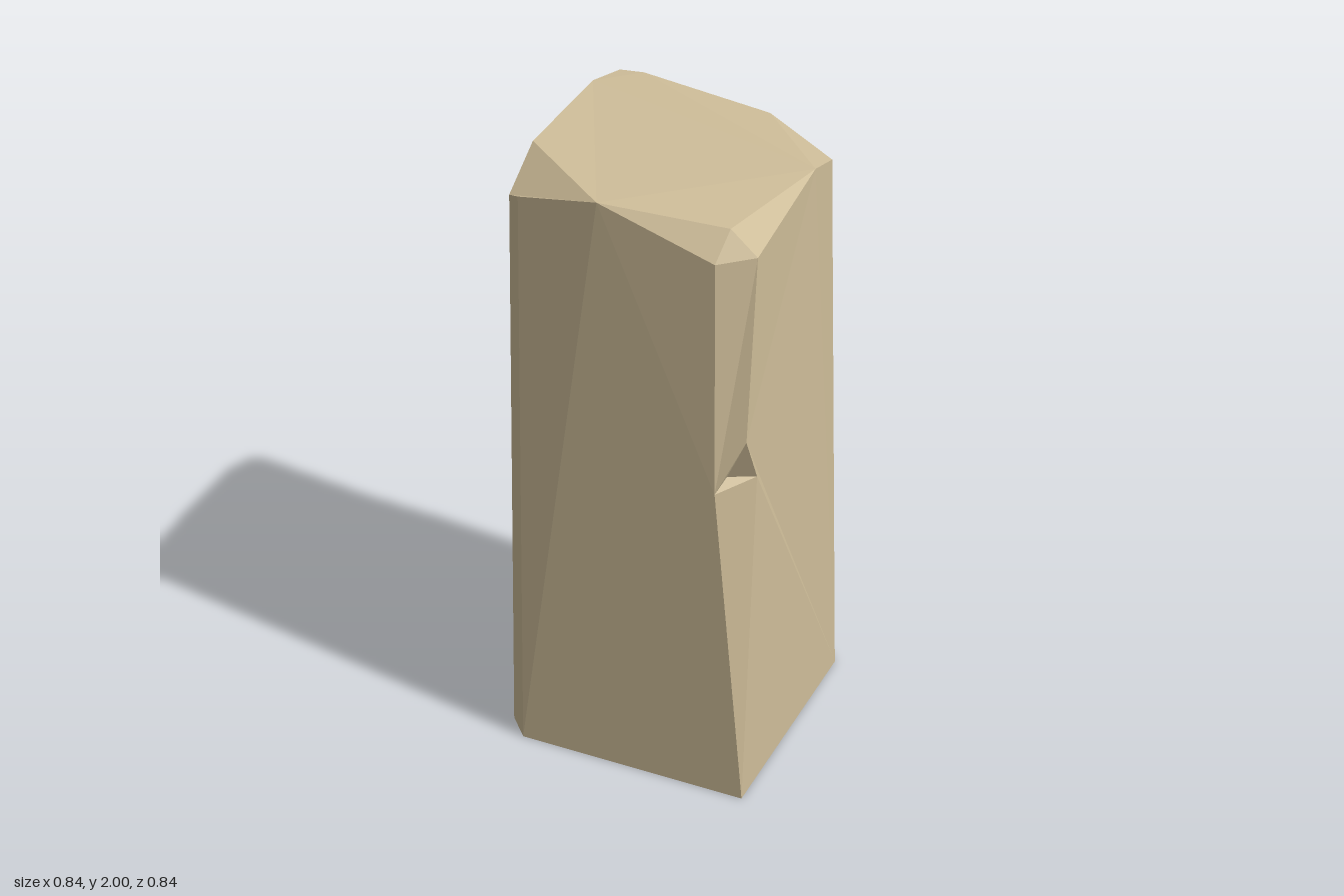
import * as THREE from 'three';

// Corner edges of the pillar; the body is a tapered block with chipped corners
const P = {
  // front left corner: notch cut into the edge
  a0: [0.405, 0, 0.395], aFront: [0.3, 1.12, 0.39], aSide: [0.385, 1.14, 0.28],
  aDeep: [0.31, 1.145, 0.325], aPeak: [0.375, 1.29, 0.34],
  a1: [0.285, 1.86, 0.37], a2: [0.375, 1.86, 0.285],
  // back left corner: narrowing bevel
  b1: [0.42, 0, -0.355], b2: [0.35, 0, -0.42], bTop: [0.33, 1.845, -0.375],
  // back right corner: overhanging notch
  d0: [-0.415, 0, -0.415], dTip: [-0.413, 0.64, -0.418],
  dBack: [-0.285, 0.95, -0.415], dSide: [-0.412, 0.95, -0.29],
  d1: [-0.375, 1.015, -0.42], d2: [-0.415, 1.015, -0.37],
  d3: [-0.38, 1.95, -0.42], d4: [-0.418, 1.95, -0.375],
  // front right corner: full bevel
  c1: [-0.35, 0, 0.42], c2: [-0.42, 0, 0.35],
  c3: [-0.32, 1.93, 0.36], c4: [-0.375, 1.9, 0.31],
  // rim of the sloping top
  tFront: [-0.065, 1.977, 0.38], tA: [0.3, 1.94, 0.3], tLeft: [0.375, 1.94, -0.125],
  tBack: [0.13, 1.955, -0.375], tD1: [-0.3, 1.985, -0.415], tD: [-0.375, 1.985, -0.403],
  tD2: [-0.415, 1.985, -0.3], tRight: [-0.375, 2, 0.16],
};

// Flat-shaded mesh from polygons, each listed counter-clockwise from outside
function facets(name, material, polygons) {
  const out = [];
  for (const polygon of polygons) {
    const pts = polygon.split(' ').map((k) => new THREE.Vector3(...P[k]));
    const normal = new THREE.Vector3();
    pts.forEach((p, i) => normal.add(p.clone().cross(pts[(i + 1) % pts.length])));
    normal.normalize();
    const u = pts[1].clone().sub(pts[0]).projectOnPlane(normal).normalize();
    const v = normal.clone().cross(u);
    const flat = pts.map((p) => new THREE.Vector2(p.dot(u), p.dot(v)));
    for (const tri of THREE.ShapeUtils.triangulateShape(flat, [])) {
      for (const i of tri) out.push(...pts[i].toArray());
    }
  }
  const geometry = new THREE.BufferGeometry();
  geometry.setAttribute('position', new THREE.Float32BufferAttribute(out, 3));
  geometry.computeVertexNormals();
  const mesh = new THREE.Mesh(geometry, material);
  mesh.name = name;
  return mesh;
}

export function createModel() {
  const stone = new THREE.MeshStandardMaterial({ color: 0xcdbc98, flatShading: true });
  stone.name = 'sandstone';
  const group = new THREE.Group();
  group.name = 'stonePillar';

  const parts = {
    pillarSides: [
      'c1 a0 aFront a1 tFront c3',
      'a0 b1 bTop tLeft a2 aPeak aSide',
      'b2 d0 dTip dBack d1 d3 tD1 tBack bTop',
      'd0 c2 c4 tRight tD2 d4 d2 dSide dTip',
    ],
    cornerBevels: [
      'a0 aSide aFront', 'aFront aPeak a2 a1', 'b1 b2 bTop', 'd1 d2 d4 d3', 'c2 c1 c3 c4',
    ],
    frontNotch: ['aFront aSide aDeep', 'aFront aDeep aPeak', 'aDeep aSide aPeak'],
    backNotch: ['dTip dSide dBack', 'dBack dSide d2 d1'],
    topChips: [
      'a1 a2 tA', 'a1 tA tFront', 'a2 tLeft tA', 'bTop tBack tLeft',
      'd3 d4 tD', 'd3 tD tD1', 'd4 tD2 tD', 'c4 c3 tFront tRight',
    ],
    topFace: ['tFront tA tLeft tBack tD1 tD tD2 tRight'],
    base: ['c1 c2 d0 b2 b1 a0'],
  };
  for (const [name, polygons] of Object.entries(parts)) group.add(facets(name, stone, polygons));
  return group;
}
